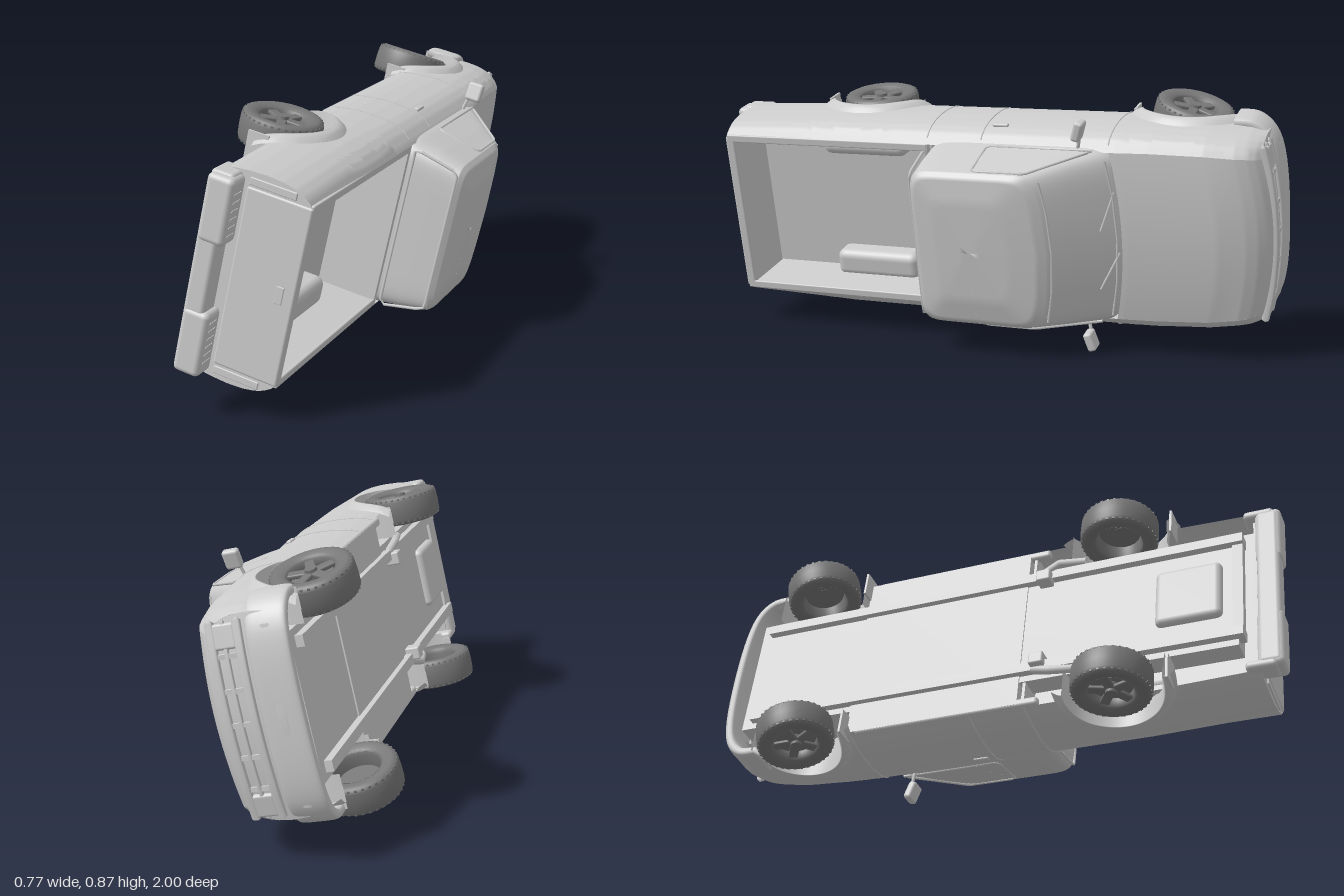
import * as THREE from 'three';
import { ParametricGeometry } from 'three/addons/geometries/ParametricGeometry.js';
import { RoundedBoxGeometry } from 'three/addons/geometries/RoundedBoxGeometry.js';

const paint = new THREE.MeshStandardMaterial({ color: 0xcccccc, side: THREE.DoubleSide });
const rubber = new THREE.MeshStandardMaterial({ color: 0x777777, side: THREE.DoubleSide });
const FRONT_Z = -0.675, REAR_Z = 0.46, ARCH = 0.168, NOSE_Z = -0.95;

// Piecewise-linear lookup; rows are [key, value, value...]
function look(t, rows, col = 1) {
  let i = 0;
  while (i < rows.length - 2 && t > rows[i + 1][0]) i++;
  const a = rows[i], b = rows[i + 1];
  const f = THREE.MathUtils.clamp((t - a[0]) / (b[0] - a[0]), 0, 1);
  return a[col] + (b[col] - a[col]) * f;
}

// Body side section, plan taper and shoulder height
const SIDE = [[0, 0.312], [0.03, 0.328], [0.07, 0.339], [0.12, 0.346], [0.18, 0.349], [0.23, 0.346], [0.27, 0.338], [0.3, 0.325], [0.32, 0.31], [0.335, 0.292]];
const TAPER = [[-0.95, 0.9], [-0.9, 0.94], [-0.78, 0.98], [-0.6, 1], [0.5, 1], [0.92, 0.96]];
const SHOULDER = [[-0.95, 0.25], [-0.935, 0.272], [-0.91, 0.29], [-0.87, 0.305], [-0.78, 0.318], [-0.5, 0.335], [0.92, 0.335]];
const shoulder = (z) => look(z, SHOULDER);
const halfWidth = (y, z) => look(y * 0.335 / shoulder(z), SIDE) * look(z, TAPER);
const sill = (z) => {
  let y = z > 0.6 ? 0.05 : 0.03;
  for (const c of [FRONT_Z, REAR_Z]) {
    const d = ARCH * ARCH - (z - c) ** 2;
    if (d > 0) y = Math.max(y, Math.sqrt(d));
  }
  return y;
};

// Cab rows: height, half width, rear z, front z
const CAB = [[0.29, 0.305, 0.15, -0.5], [0.335, 0.302, 0.15, -0.49], [0.42, 0.287, 0.148, -0.385],
  [0.508, 0.267, 0.144, -0.28], [0.522, 0.255, 0.134, -0.255], [0.534, 0.19, 0.075, -0.18], [0.539, 0, -0.05, -0.06]];

export function createModel() {
  const truck = new THREE.Group();
  truck.name = 'pickupTruck';

  const add = (name, geo, x = 0, y = 0, z = 0, parent = truck, mat = paint) => {
    const m = new THREE.Mesh(geo, mat);
    m.name = name;
    m.position.set(x, y, z);
    parent.add(m);
    return m;
  };
  const box = (name, w, h, d, x, y, z, r = 0) =>
    add(name, r ? new RoundedBoxGeometry(w, h, d, 3, r) : new THREE.BoxGeometry(w, h, d), x, y, z);
  const surface = (name, fn, nu, nv) => add(name, new ParametricGeometry(fn, nu, nv));
  const tube = (name, pts, r, closed = false) => {
    const path = new THREE.CurvePath(), v = pts.map((p) => new THREE.Vector3(...p));
    const n = closed ? v.length : v.length - 1;
    for (let i = 0; i < n; i++) path.add(new THREE.LineCurve3(v[i], v[(i + 1) % v.length]));
    return add(name, new THREE.TubeGeometry(path, 48, r, 6, closed));
  };
  // Rounded bar swept along a plan curve of [x, z] points
  const bar = (name, pts, y, height, thick) => {
    const curve = new THREE.CatmullRomCurve3(pts.map(([x, z]) => new THREE.Vector3(x, y, z)));
    const pow = (a) => Math.sign(a) * Math.abs(a) ** 0.45;
    surface(name, (u, v, out) => {
      const p = curve.getPoint(u), t = curve.getTangent(u), a = v * Math.PI * 2;
      const s = u < 1e-6 || u > 1 - 1e-6 ? 0 : 1;
      const o = pow(Math.cos(a)) * thick / 2 * s;
      out.set(p.x + t.z * o, y + pow(Math.sin(a)) * height / 2 * s, p.z - t.x * o);
    }, 48, 24);
  };

  // Outer body sides, rear edges and panel seams
  for (const s of [-1, 1]) {
    surface('bodySide', (u, v, out) => {
      const z = NOSE_Z + u * 1.87;
      const y = THREE.MathUtils.lerp(sill(z), shoulder(z), v);
      out.set(s * halfWidth(y, z), y, z);
    }, 180, 20);
    surface('rearCorner', (u, v, out) => {
      const y = THREE.MathUtils.lerp(0.05, 0.335, v);
      out.set(s * THREE.MathUtils.lerp(0.272, halfWidth(y, 0.92), u), y, 0.92);
    }, 2, 12);
    for (const z of [-0.475, -0.04, 0.152]) {
      tube('panelSeam', SIDE.slice(1, -1).map(([y]) => [s * (halfWidth(y, z) + 0.0005), y, z]), 0.0025);
    }
  }

  // Hood with rounded nose, and the upright front panel
  surface('hood', (u, v, out) => {
    const s = u * 2 - 1, b = 1 - s * s;
    const z = NOSE_Z + v * 0.47;
    out.set(s * halfWidth(shoulder(z), z), shoulder(z) + b * 0.018 * Math.min(1, v * 3), z - b * 0.035);
  }, 24, 40);
  surface('frontPanel', (u, v, out) => {
    const s = u * 2 - 1, y = THREE.MathUtils.lerp(0.03, shoulder(NOSE_Z), v);
    out.set(s * halfWidth(y, NOSE_Z), y, NOSE_Z - 0.035 * (1 - s * s));
  }, 24, 10);
  const noseZ = (x) => NOSE_Z - 0.002 - 0.035 * (1 - (x / 0.3) ** 2);
  const nose = [-0.305, -0.18, 0, 0.18, 0.305].map((x) => [x, noseZ(x)]);
  bar('grilleSurround', nose, 0.238, 0.026, 0.024);
  bar('grilleBar', nose, 0.198, 0.012, 0.018);
  bar('grilleSurround', nose, 0.155, 0.026, 0.026);
  for (const x of [-0.2, -0.1, 0, 0.1, 0.2]) box('grillePost', 0.014, 0.09, 0.014, x, 0.198, noseZ(x));
  for (const s of [-1, 1]) {
    const lamp = box('headlight', 0.075, 0.07, 0.02, s * 0.255, 0.198, noseZ(0.255), 0.008);
    lamp.rotation.y = -s * 0.2;
  }
  bar('frontBumper', [[-0.335, -0.83], [-0.328, -0.9], [-0.27, -0.952], [0, -0.98], [0.27, -0.952], [0.328, -0.9], [0.335, -0.83]], 0.07, 0.125, 0.036);
  bar('bumperStrip', [[-0.28, -0.963], [-0.2, -0.976], [0, -0.992], [0.2, -0.976], [0.28, -0.963]], 0.07, 0.03, 0.014);

  // Cab with raked windscreen and rounded roof
  const BOW = 0.035;
  surface('cab', (u, v, out) => {
    const f = v * (CAB.length - 1), i = Math.min(Math.floor(f), CAB.length - 2);
    const [y, w, zr, zf] = CAB[i].map((a, k) => a + (CAB[i + 1][k] - a) * (f - i));
    const pow = (a) => Math.sign(a) * Math.abs(a) ** 0.2;
    const c = pow(Math.cos(u * Math.PI * 2)), s = pow(Math.sin(u * Math.PI * 2));
    const bulge = s < 0 ? -s * BOW * (1 - c * c) * Math.min(1, w / 0.25) : 0;
    out.set(w * c, y, (zr + zf) / 2 + s * (zr - zf) / 2 - bulge);
  }, 160, 30);

  // Window surrounds and wipers
  const cabX = (y) => look(y, CAB, 1);
  for (const s of [-1, 1]) {
    tube('sideWindowFrame', [[-0.43, 0.345], [-0.08, 0.345], [-0.07, 0.36], [-0.07, 0.49], [-0.08, 0.5], [-0.25, 0.5]]
      .map(([z, y]) => [s * cabX(y), y, z]), 0.005, true);
  }
  tube('rearWindowFrame', [[-0.275, 0.35], [0.275, 0.35], [0.282, 0.36], [0.252, 0.495], [0.242, 0.505], [-0.242, 0.505], [-0.252, 0.495], [-0.282, 0.36]]
    .map(([x, y]) => [x, y, look(y, CAB, 2)]), 0.005, true);
  const screen = (s, y) => [s * cabX(y), y, look(y, CAB, 3) - BOW * (1 - s * s)];
  for (const y of [0.355, 0.5]) tube('windscreenEdge', [-0.9, -0.5, 0, 0.5, 0.9].map((s) => screen(s, y)), 0.004);
  for (const s of [-0.55, 0.15]) tube('wiper', [screen(s, 0.35), screen(s + 0.4, 0.39)], 0.004);

  // Load bed
  box('bedFloor', 0.58, 0.02, 0.76, 0, 0.115, 0.535);
  box('bedFrontWall', 0.58, 0.22, 0.02, 0, 0.225, 0.16);
  box('tailgate', 0.574, 0.212, 0.035, 0, 0.23, 0.907, 0.008);
  box('tailgateHandle', 0.055, 0.024, 0.006, 0, 0.288, 0.925, 0.002);
  box('rearValance', 0.57, 0.075, 0.01, 0, 0.088, 0.91);
  box('cabRearWall', 0.62, 0.28, 0.01, 0, 0.17, 0.146);
  for (const s of [-1, 1]) {
    box('bedInnerWall', 0.012, 0.22, 0.76, s * 0.276, 0.22, 0.535);
    box('bedRail', 0.026, 0.012, 0.765, s * 0.28, 0.33, 0.535, 0.004);
    box('wheelHousing', 0.1, 0.1, 0.32, s * 0.235, 0.15, REAR_Z, 0.03);
    box('tailLight', 0.024, 0.15, 0.008, s * 0.305, 0.205, 0.921, 0.003);
  }

  // Rear step bumper: full-width beam with raised, ribbed ends
  box('bumperBeam', 0.62, 0.07, 0.075, 0, 0.062, 0.955, 0.016);
  for (const s of [-1, 1]) {
    box('bumperEnd', 0.21, 0.088, 0.085, s * 0.212, 0.073, 0.9555, 0.018);
    box('bumperWrap', 0.03, 0.075, 0.1, s * 0.308, 0.066, 0.925, 0.013);
    for (let i = 0; i < 6; i++) box('stepRib', 0.005, 0.004, 0.04, s * (0.14 + i * 0.026), 0.117, 0.96);
  }

  // Underbody: floor pan, frame rails, tank and exhausts
  box('cabFloor', 0.64, 0.03, 0.62, 0, 0.035, -0.18);
  box('centreFloor', 0.46, 0.07, 1.78, 0, 0.06, -0.03);
  box('engineBay', 0.46, 0.19, 0.4, 0, 0.175, -0.69);
  box('spareTank', 0.22, 0.05, 0.22, 0, 0.025, 0.7, 0.02);
  box('rearCrossMember', 0.36, 0.03, 0.035, 0, 0.03, 0.86);
  for (const s of [-1, 1]) {
    box('frameRail', 0.035, 0.05, 1.76, s * 0.19, 0.025, 0);
    box('rearFrameBracket', 0.045, 0.05, 0.05, s * 0.175, 0, 0.2, 0.006);
    box('sideStep', 0.03, 0.03, 0.66, s * 0.312, 0.035, -0.13, 0.01);
    tube('exhaustPipe', [[s * 0.2, 0.01, 0.18], [s * 0.225, -0.005, 0.25], [s * 0.225, 0.01, 0.34]], 0.014);
    for (const z of [FRONT_Z + 0.185, REAR_Z + 0.185]) box('mudFlap', 0.09, 0.07, 0.008, s * 0.3, 0.01, z);
  }

  // Wheel wells, arch flares blended into the sides, door handles and mirrors
  for (const s of [-1, 1]) {
    for (const c of [FRONT_Z, REAR_Z]) {
      const well = new THREE.CylinderGeometry(ARCH, ARCH, 0.11, 24, 1, true, 0, Math.PI).rotateZ(Math.PI / 2);
      add('wheelWell', well, s * 0.285, 0, c);
      surface('archFlare', (u, v, out) => {
        const a = u * Math.PI, f = Math.max(0, (v - 0.25) / 0.75), r = ARCH - 0.004 + f * 0.04;
        const y = r * Math.sin(a), z = c + r * Math.cos(a);
        const swell = v < 0.25 ? -0.03 + v * 0.2 : 0.02 * Math.cos(f * Math.PI / 2) - 0.002 * f;
        out.set(s * (halfWidth(y, z) + swell), y, z);
      }, 40, 12);
    }
    box('doorHandle', 0.012, 0.018, 0.055, s * 0.343, 0.255, -0.09, 0.005);
    const mirror = box('doorMirror', 0.066, 0.056, 0.03, s * 0.37, 0.352, -0.39, 0.01);
    mirror.rotation.y = s * 0.3;
    tube('mirrorArm', [[s * 0.295, 0.325, -0.375], [s * 0.345, 0.335, -0.387]], 0.006);
  }

  // Wheels; the front pair is steered
  const profile = [[0.08, 0.042], [0.09, 0.049], [0.112, 0.052], [0.124, 0.047], [0.131, 0.034], [0.132, 0]];
  const half = profile.map(([r, y]) => new THREE.Vector2(r, y));
  const tyreGeo = new THREE.LatheGeometry([...half, ...profile.slice(0, -1).map(([r, y]) => new THREE.Vector2(r, -y)).reverse()], 48);
  const rimGeo = new THREE.LatheGeometry([[0.082, -0.044], [0.074, -0.03], [0.07, 0.02], [0.074, 0.04], [0.082, 0.044]].map((p) => new THREE.Vector2(...p)), 40);
  for (const s of [-1, 1]) {
    for (const z of [FRONT_Z, REAR_Z]) {
      const wheel = new THREE.Group();
      wheel.name = z < 0 ? 'frontWheel' : 'rearWheel';
      wheel.position.set(s * 0.31, 0, z);
      wheel.rotation.set(0, z < 0 ? -0.27 : 0, -s * Math.PI / 2);
      add('tyre', tyreGeo, 0, 0, 0, wheel, rubber);
      add('rim', rimGeo, 0, 0, 0, wheel, rubber);
      add('brakeDisc', new THREE.CylinderGeometry(0.07, 0.07, 0.01, 32), 0, 0.008, 0, wheel, rubber);
      add('hub', new THREE.CylinderGeometry(0.018, 0.024, 0.045, 20), 0, 0.025, 0, wheel, rubber);
      for (let i = 0; i < 5; i++) {
        const a = i * Math.PI * 0.4;
        const spoke = add('spoke', new RoundedBoxGeometry(0.06, 0.014, 0.032, 2, 0.005), Math.cos(a) * 0.045, 0.032, -Math.sin(a) * 0.045, wheel, rubber);
        spoke.rotation.y = a;
      }
      for (let i = 0; i < 36; i++) {
        const a = i * Math.PI / 18;
        for (const e of [-1, 1]) {
          const lug = add('treadLug', new THREE.BoxGeometry(0.006, 0.01, 0.008), Math.cos(a) * 0.1255, e * 0.04, -Math.sin(a) * 0.1255, wheel, rubber);
          lug.rotation.y = a;
        }
      }
      truck.add(wheel);
    }
  }

  // The truck rests rolled on its side
  truck.rotation.z = -THREE.MathUtils.degToRad(103);
  truck.position.set(-0.18, 0.48, 0);
  const model = new THREE.Group();
  model.name = 'model';
  model.add(truck);
  return model;
}
